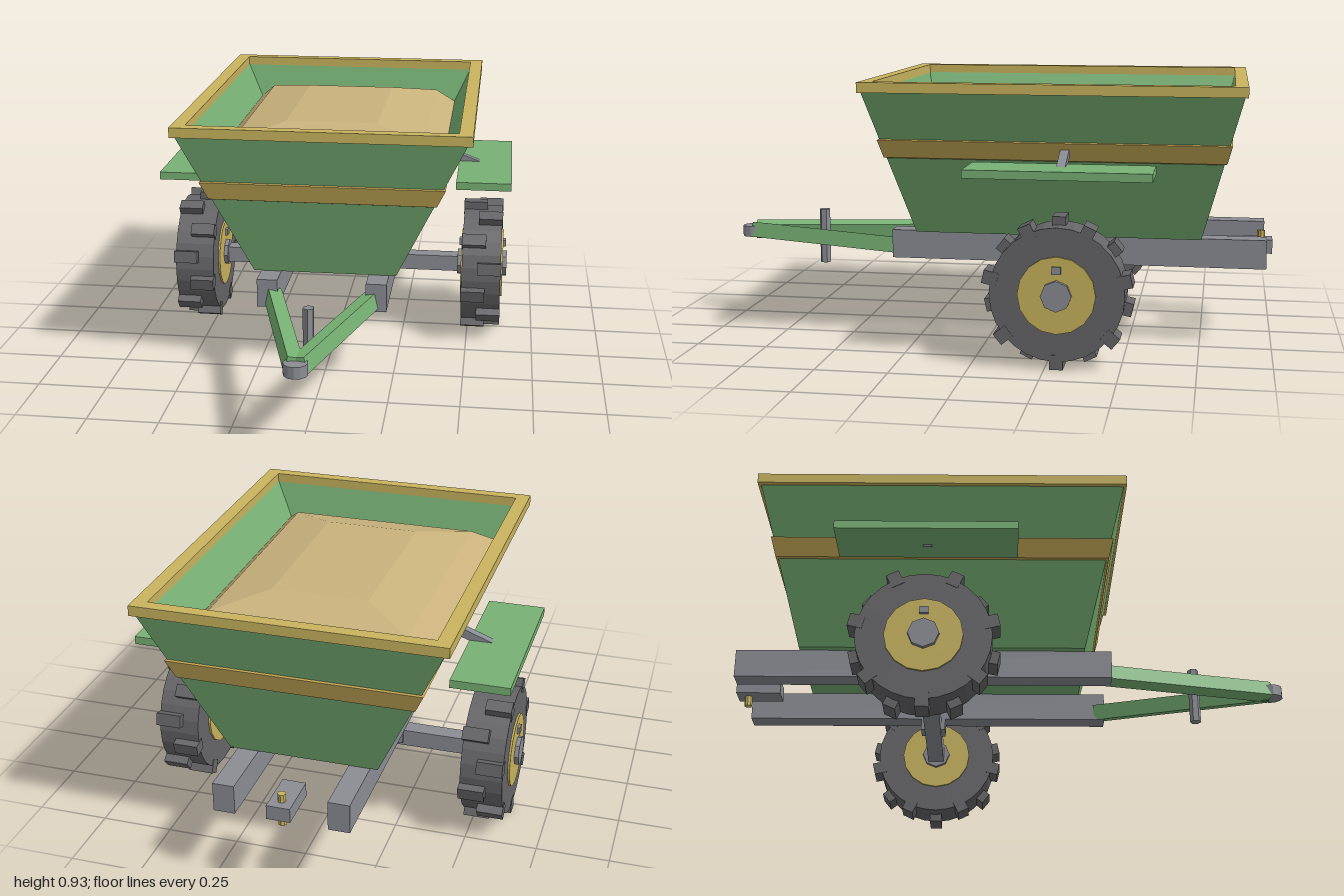
import * as THREE from 'three';

const mat = (name, color) => {
  const m = new THREE.MeshStandardMaterial({ color });
  m.name = name;
  return m;
};

// Faceted normals for the low-poly look
function facet(geo) {
  const g = geo.index ? geo.toNonIndexed() : geo;
  g.computeVertexNormals();
  return g;
}

// Skin over rectangular cross-sections; each row is [halfWidth, y, halfLength]
function rectLoft(rows, capStart = false, capEnd = false) {
  const pos = [];
  const corner = ([hx, y, hz], i) => [[hx, y, hz], [hx, y, -hz], [-hx, y, -hz], [-hx, y, hz]][i % 4];
  const quad = (a, b, c, d) => pos.push(...a, ...b, ...c, ...a, ...c, ...d);
  for (let r = 0; r < rows.length - 1; r++)
    for (let i = 0; i < 4; i++)
      quad(corner(rows[r], i), corner(rows[r], i + 1), corner(rows[r + 1], i + 1), corner(rows[r + 1], i));
  const first = rows[0], last = rows[rows.length - 1];
  if (capStart) quad(...[3, 2, 1, 0].map(i => corner(first, i)));
  if (capEnd) quad(...[0, 1, 2, 3].map(i => corner(last, i)));
  const g = new THREE.BufferGeometry();
  g.setAttribute('position', new THREE.Float32BufferAttribute(pos, 3));
  g.computeVertexNormals();
  return g;
}

export function createModel() {
  const green = mat('green paint', 0x78b275);
  const yellow = mat('yellow paint', 0xc9b45e);
  const ochre = mat('ochre band', 0xc6aa58);
  const steel = mat('grey steel', 0x8b8d94);
  const rubber = mat('dark rubber', 0x666669);
  const grain = mat('grain', 0xc9b27c);

  const model = new THREE.Group();
  model.name = 'hopperTrailer';

  const add = (parent, name, geo, material, x = 0, y = 0, z = 0) => {
    const m = new THREE.Mesh(geo, material);
    m.name = name;
    m.position.set(x, y, z);
    parent.add(m);
    return m;
  };
  const box = (w, h, d) => new THREE.BoxGeometry(w, h, d);
  const cyl = (r, h, n) => facet(new THREE.CylinderGeometry(r, r, h, n));
  const axleCyl = (r, h, n) => cyl(r, h, n).rotateZ(Math.PI / 2);

  // Hopper: sloping outer walls, thin lip, inner walls
  const hopper = new THREE.Group();
  hopper.name = 'hopper';
  hopper.position.z = -0.245;
  model.add(hopper);
  const wallX = y => 0.255 + (y - 0.385) * 0.47;
  const wallZ = y => 0.505 + (y - 0.385) * 0.26;
  const wall = (y, off = 0) => [wallX(y) + off, y, wallZ(y) + off];
  add(hopper, 'hopperShell', rectLoft([
    wall(0.385), wall(0.92), wall(0.92, -0.033), wall(0.5, -0.033),
  ], true, true), green);

  // Rim frame around the top edge
  const rimOut = [0.515, 0.65], rimIn = [0.467, 0.607];
  const rimRow = ([x, z], y) => [x, y, z];
  add(hopper, 'rim', rectLoft([
    rimRow(rimOut, 0.902), rimRow(rimOut, 0.937), rimRow(rimIn, 0.937), rimRow(rimIn, 0.902), rimRow(rimOut, 0.902),
  ]), yellow);

  // Painted band wrapping the walls
  add(hopper, 'band', rectLoft([
    wall(0.667), wall(0.67, 0.008), wall(0.733, 0.008), wall(0.736),
  ]), ochre);

  // Heaped load
  add(hopper, 'grainHeap', rectLoft([
    [0.41, 0.775, 0.573], [0.335, 0.85, 0.453], [0.165, 0.888, 0.303],
  ], false, true), grain);

  // Chassis
  add(model, 'axle', box(0.96, 0.06, 0.06), steel, 0, 0.255, -0.29);
  add(model, 'frontCoupling', cyl(0.04, 0.04, 12), steel, 0, 0.324, 0.96);
  add(model, 'jackPost', cyl(0.02, 0.205, 6), steel, 0, 0.312, 0.675);
  add(model, 'rearHitch', box(0.08, 0.05, 0.16), steel, 0, 0.327, -0.92);
  add(model, 'hitchPin', cyl(0.014, 0.115, 8), yellow, 0, 0.323, -0.96);

  for (const s of [1, -1]) {
    const side = s > 0 ? 'left' : 'right';
    add(model, side + 'Rail', box(0.073, 0.102, 1.33), steel, s * 0.193, 0.334, -0.31);
    add(model, side + 'AxleSaddle', box(0.07, 0.05, 0.09), steel, s * 0.193, 0.266, -0.29);

    // Drawbar beam converging on the coupling
    const from = new THREE.Vector3(s * 0.178, 0.316, 0.32);
    const to = new THREE.Vector3(s * 0.008, 0.327, 0.95);
    const beam = add(model, side + 'Drawbar', box(0.05, 0.057, from.distanceTo(to)), green);
    beam.position.copy(from).add(to).multiplyScalar(0.5);
    beam.lookAt(to);
    beam.rotateZ(s * 0.22);

    // Fender and its strut
    add(model, side + 'Fender', box(0.2, 0.028, 0.62), green, s * 0.55, 0.654, -0.29);
    const strut = add(model, side + 'FenderStrut', box(0.19, 0.03, 0.03), steel, s * 0.455, 0.68, -0.29);
    strut.rotation.z = -s * 0.36;

    // Wheel with lugs staggered between the inner and outer tread
    const wheel = new THREE.Group();
    wheel.name = side + 'Wheel';
    wheel.position.set(s * 0.55, 0.256, -0.29);
    model.add(wheel);
    add(wheel, 'tire', axleCyl(0.225, 0.146, 28), rubber);
    add(wheel, 'rimDisc', axleCyl(0.13, 0.16, 16), yellow);
    add(wheel, 'hub', axleCyl(0.052, 0.19, 8), steel);
    add(wheel, 'hubBolt', box(0.18, 0.025, 0.03), steel, 0, 0.085, 0);
    for (let i = 0; i < 14; i++) {
      const a = (i / 14) * Math.PI * 2;
      const lug = add(wheel, 'lug', box(0.09, 0.05, 0.045), rubber,
        s * (i % 2 ? 0.03 : -0.03), Math.cos(a) * 0.227, Math.sin(a) * 0.227);
      lug.rotation.x = a;
    }
  }
  return model;
}
